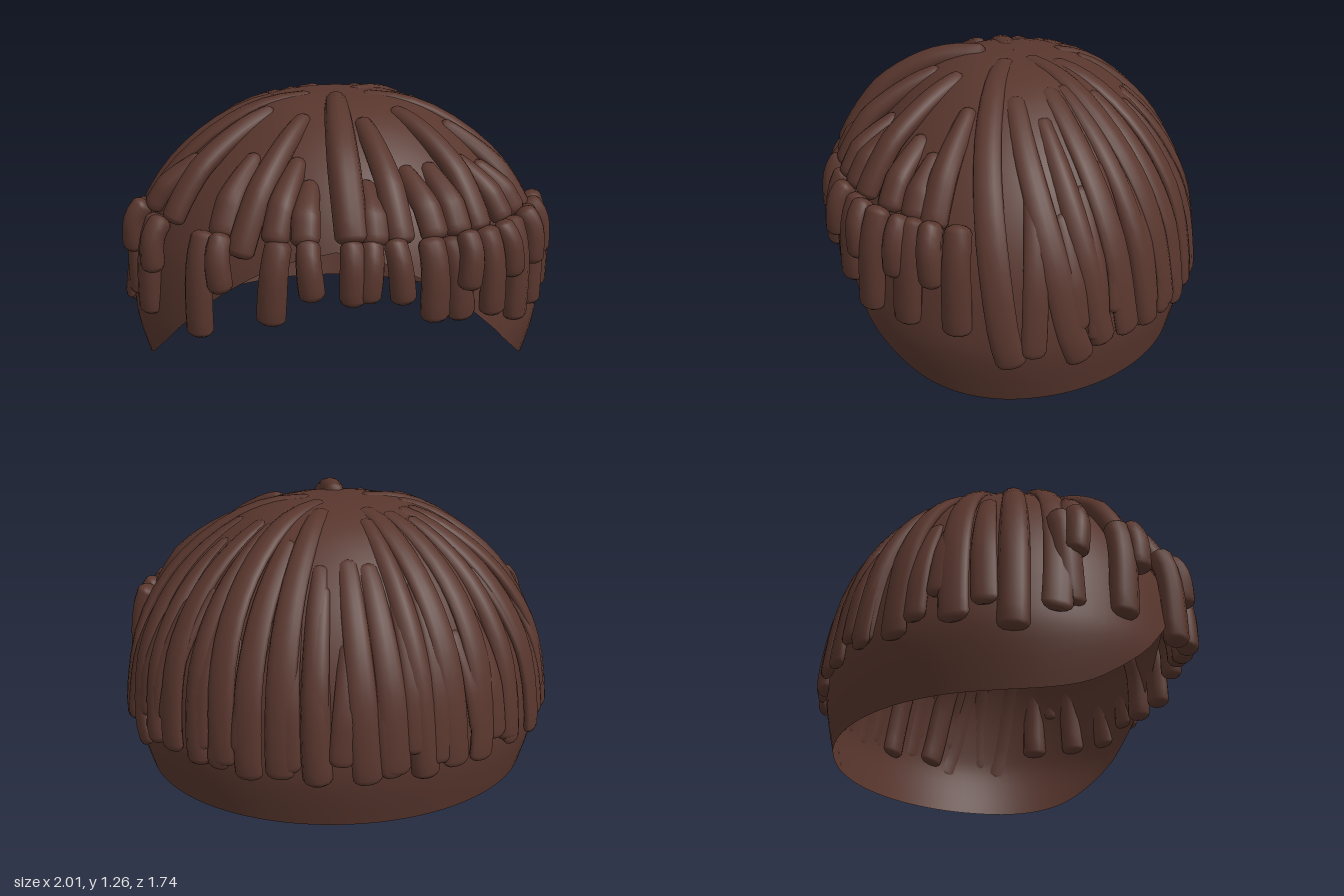
import * as THREE from 'three';

const DEG = Math.PI / 180;
const DEPTH = 0.86; // front-to-back squash of the dome

// Dome profile as (radius, height), crown to hem
const profile = new THREE.SplineCurve([
  [0, 1.23], [0.25, 1.215], [0.45, 1.145], [0.65, 1.0], [0.8, 0.82],
  [0.905, 0.6], [0.955, 0.35], [0.955, 0.2], [0.905, 0],
].map(([r, y]) => new THREE.Vector2(r, y)));

// Hem height by angle from the front
const hem = new THREE.SplineCurve([
  [0, 0.72], [15, 0.66], [30, 0.52], [43, 0.34], [52, 0.21], [65, 0.08], [76, 0.025], [90, 0.003], [110, 0], [180, 0],
].map(([a, y]) => new THREE.Vector2(a, y)));

// Curve parameter where a rising test first becomes true
function solve(curve, test, hi = 1) {
  let lo = 0;
  for (let i = 0; i < 30; i++) {
    const mid = (lo + hi) / 2;
    if (test(curve.getPoint(mid))) hi = mid; else lo = mid;
  }
  return hi;
}
const atHeight = (y) => solve(profile, (p) => p.y <= y);
const atRadius = (r) => solve(profile, (p) => p.x >= r, 0.75);
const hemHeight = (az) => Math.max(0, hem.getPoint(solve(hem, (p) => p.x >= Math.abs(az) / DEG)).y);

function domePoint(az, u) {
  const p = profile.getPoint(u);
  return new THREE.Vector3(p.x * Math.sin(az), p.y, DEPTH * p.x * Math.cos(az));
}

function domeNormal(az, u) {
  const t = profile.getTangent(Math.max(u, 0.01));
  return new THREE.Vector3(-t.y * Math.sin(az), t.x, -t.y * Math.cos(az) / DEPTH).normalize();
}

// Joins rings of equal length into a smooth skin
function skin(rings) {
  const n = rings[0].length, pos = [], idx = [];
  rings.flat().forEach((p) => pos.push(p.x, p.y, p.z));
  for (let i = 0; i < rings.length - 1; i++) {
    for (let j = 0; j < n; j++) {
      const a = i * n + j, b = i * n + (j + 1) % n;
      idx.push(a, b, a + n, b, b + n, a + n);
    }
  }
  const g = new THREE.BufferGeometry();
  g.setAttribute('position', new THREE.Float32BufferAttribute(pos, 3));
  g.setIndex(idx);
  g.computeVertexNormals();
  return g;
}

// Open cap with a raised front hem
function capGeometry() {
  const rings = [];
  for (let i = 0; i <= 28; i++) {
    const ring = [];
    for (let j = 0; j < 96; j++) {
      const az = (1 - j / 96 * 2) * Math.PI;
      ring.push(domePoint(az, Math.max(0.0005, i / 28) * atHeight(hemHeight(az))));
    }
    rings.push(ring);
  }
  return skin(rings);
}

// Oval lock swept along frames of { p, n }, with rounded ends
function lockGeometry(frames, width, thick, taper) {
  const rings = [], last = frames.length - 1, sides = 12;
  const ring = (k, size, shift) => {
    const { p, n } = frames[k];
    const t = frames[Math.min(k + 1, last)].p.clone().sub(frames[Math.max(k - 1, 0)].p).normalize();
    const side = t.clone().cross(n).normalize();
    const up = side.clone().cross(t);
    const grow = taper + (1 - taper) * Math.min(1, k / last * 1.5);
    const out = [];
    for (let j = 0; j < sides; j++) {
      const a = j / sides * Math.PI * 2;
      out.push(p.clone().addScaledVector(t, shift)
        .addScaledVector(up, Math.cos(a) * thick * size)
        .addScaledVector(side, Math.sin(a) * width * size * grow));
    }
    rings.push(out);
  };
  [[0.001, -0.03], [0.55, -0.025], [0.85, -0.014]].forEach(([s, d]) => ring(0, s, d));
  for (let k = 0; k <= last; k++) ring(k, 1, 0);
  [[0.88, 0.014], [0.62, 0.025], [0.001, 0.03]].forEach(([s, d]) => ring(last, s, d));
  return skin(rings);
}

// Lock lying on the dome from one radius and angle to another angle and height
function domeLock([r0, az0, az1, yEnd], width, thick, lift0, lift1) {
  const u0 = atRadius(r0), u1 = atHeight(yEnd + 0.03), frames = [];
  for (let i = 0; i <= 14; i++) {
    const t = i / 14, u = u0 + (u1 - u0) * t, az = (az0 + (az1 - az0) * t) * DEG;
    const n = domeNormal(az, u);
    const lift = lift0 + (lift1 - lift0) * Math.min(1, t * 1.6);
    frames.push({ p: domePoint(az, u).addScaledVector(n, lift), n });
  }
  return lockGeometry(frames, width, thick, 0.72);
}

// Fringe lock hanging almost straight down around the brow
function fringeLock(az, yEnd, inset, yTop, lean, width) {
  const frames = [];
  for (let i = 0; i <= 6; i++) {
    const t = i / 6, a = (az + lean * t) * DEG;
    const out = 1 - inset - 0.05 * (1 - t) ** 4 + 0.035 * Math.sin(2 * a) ** 2;
    const p = new THREE.Vector3(0.945 * out * Math.sin(a), yTop + (yEnd + 0.03 - yTop) * t, 0.825 * out * Math.cos(a));
    frames.push({ p, n: new THREE.Vector3(Math.sin(a), 0, Math.cos(a)) });
  }
  return lockGeometry(frames, width, 0.05, 0.9);
}

// Each entry: start radius, start angle, end angle, end height
const longLocks = [
  [0.15, 80, 96, 0.21], [0.45, 98, 115, 0.2], [0.55, 112, 122, 0.25], [0.42, 122, 130, 0.26],
  [0.14, 138, 147, 0.27], [0.42, 133, 139, 0.24], [0.5, 151, 154, 0.23], [0.26, 160, 162, 0.25],
  [0.6, 169, 171, 0.22], [0.58, 180, 183, 0.23], [0.6, 188, 190, 0.26], [0.36, 196, 198, 0.22],
  [0.26, 206, 206, 0.25], [0.33, 220, 214, 0.24], [0.4, 231, 226, 0.27], [0.33, 240, 239, 0.23],
  [0.35, 252, 256, 0.25], [0.3, 272, 271, 0.21], [0.15, 290, 282, 0.29],
];
const frontLocks = [
  [0.42, 16, 17, 0.73], [0.37, 46, 43, 0.73], [0.52, 72, 72, 0.72], [0.4, -21, -25, 0.67],
  [0.38, -52, -53, 0.73], [0.7, -9, -8, 0.73], [0.62, -15, -16, 0.73], [0.66, 26, 27, 0.73],
  [0.66, 54, 55, 0.73], [0.62, -34, -32, 0.73], [0.68, -66, -70, 0.73], [0.7, 10, 10, 0.73],
  [0.66, 36, 35, 0.73], [0.7, 64, 65, 0.73],
];
// Each entry: angle, end height, inset
const fringe = [
  [-71, 0.55, 0], [-75, 0.33, 0.02], [-53, 0.55, 0], [-57, 0.33, 0.015],
  [-30, 0.55, 0], [-36, 0.33, 0.015], [-15, 0.43, 0.02], [-7, 0.55, 0],
  [4, 0.53, 0], [9, 0.54, 0.01], [15, 0.53, 0], [25, 0.43, 0.02], [35, 0.55, 0],
  [33, 0.4, 0.06], [43, 0.4, 0.02], [54, 0.33, 0.01], [48, 0.55, 0], [63, 0.54, 0],
  [67, 0.33, 0.015], [73, 0.53, 0], [81, 0.33, 0],
];

export function createModel() {
  const brown = new THREE.MeshStandardMaterial({ color: 0x58362d, side: THREE.DoubleSide });
  brown.name = 'dark brown hair';
  const model = new THREE.Group();
  model.name = 'hair';
  const group = (name) => {
    const g = new THREE.Group();
    g.name = name;
    model.add(g);
    return g;
  };
  const add = (parent, name, geometry) => {
    const mesh = new THREE.Mesh(geometry, brown);
    mesh.name = name;
    parent.add(mesh);
  };

  add(model, 'cap', capGeometry());

  // Long locks over the sides and back, every third one thick enough to show inside
  const back = group('backLocks');
  longLocks.forEach((l, i) => {
    const deep = i % 3 === 2;
    add(back, 'longLock', domeLock(l, 0.062, deep ? 0.045 : 0.025, deep ? -0.034 : -0.016, deep ? 0 : 0.02));
  });

  // Short locks filling in between near the hem
  for (let i = 0; i < 20; i++) {
    const az = 104 + i * 8.3;
    const lock = [0.68 + 0.05 * (i * 7 % 4), az, az + (i * 5 % 3 - 1) * 2, 0.25 + 0.03 * (i * 3 % 5)];
    add(back, 'shortLock', domeLock(lock, 0.052, 0.022, -0.01, 0.019));
  }

  // Locks sweeping forward from the crown, lying flatter towards the sides
  const front = group('frontLocks');
  add(front, 'centreLock', domeLock([0.18, 0, 4, 0.74], 0.068, 0.056, -0.025, 0.058));
  frontLocks.forEach((l) =>
    add(front, 'frontLock', domeLock(l, 0.06, 0.046, -0.025, 0.058 - 0.0005 * Math.abs(l[2]))));

  // Hanging fringe, the longer locks broader
  const brow = group('fringe');
  fringe.forEach(([az, yEnd, inset], i) => add(brow, 'fringeLock',
    fringeLock(az, yEnd, inset, 0.76 - inset * 0.5, (i * 5 % 3 - 1) * 1.2, yEnd < 0.45 ? 0.063 : 0.054)));

  return model;
}
